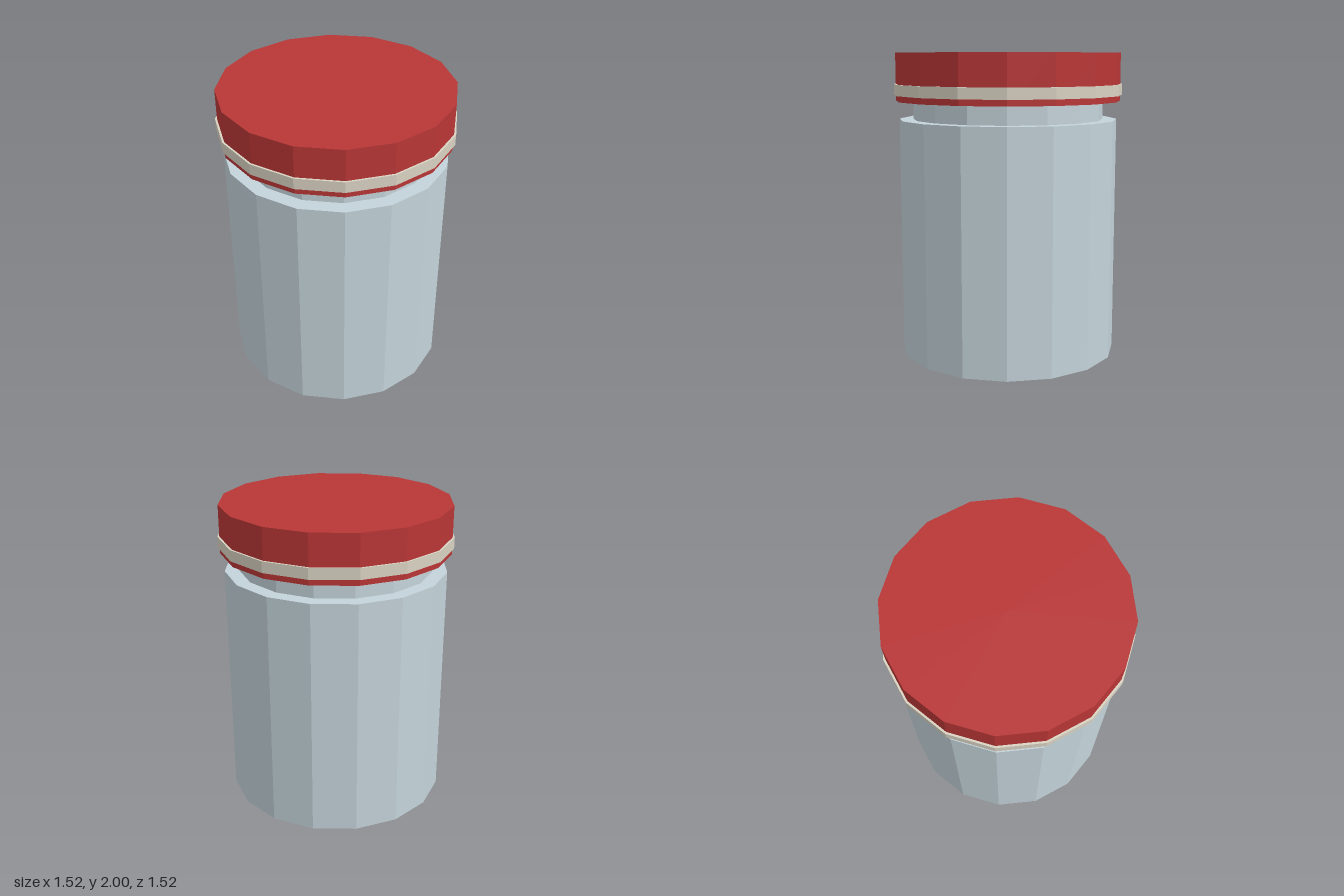
import * as THREE from 'three';

const SIDES = 16;

export function createModel() {
  const jar = new THREE.Group();
  jar.name = 'jar';

  const material = (name, color) => {
    const m = new THREE.MeshStandardMaterial({ color, flatShading: true });
    m.name = name;
    return m;
  };
  const glass = material('pale blue glass', 0xc4d3da);
  const red = material('red lid', 0xb93636);
  const cream = material('cream band', 0xd9d2c2);

  // Upright faceted drum between two heights
  const drum = (name, radius, bottom, top, mat) => {
    const mesh = new THREE.Mesh(new THREE.CylinderGeometry(radius, radius, top - bottom, SIDES), mat);
    mesh.name = name;
    mesh.position.y = (bottom + top) / 2;
    jar.add(mesh);
  };

  drum('body', 0.723, 0, 1.567, glass);
  drum('neck', 0.63, 1.567, 1.688, glass);
  drum('lid', 0.745, 1.688, 2, red);
  drum('lidBand', 0.758, 1.727, 1.798, cream);

  return jar;
}
